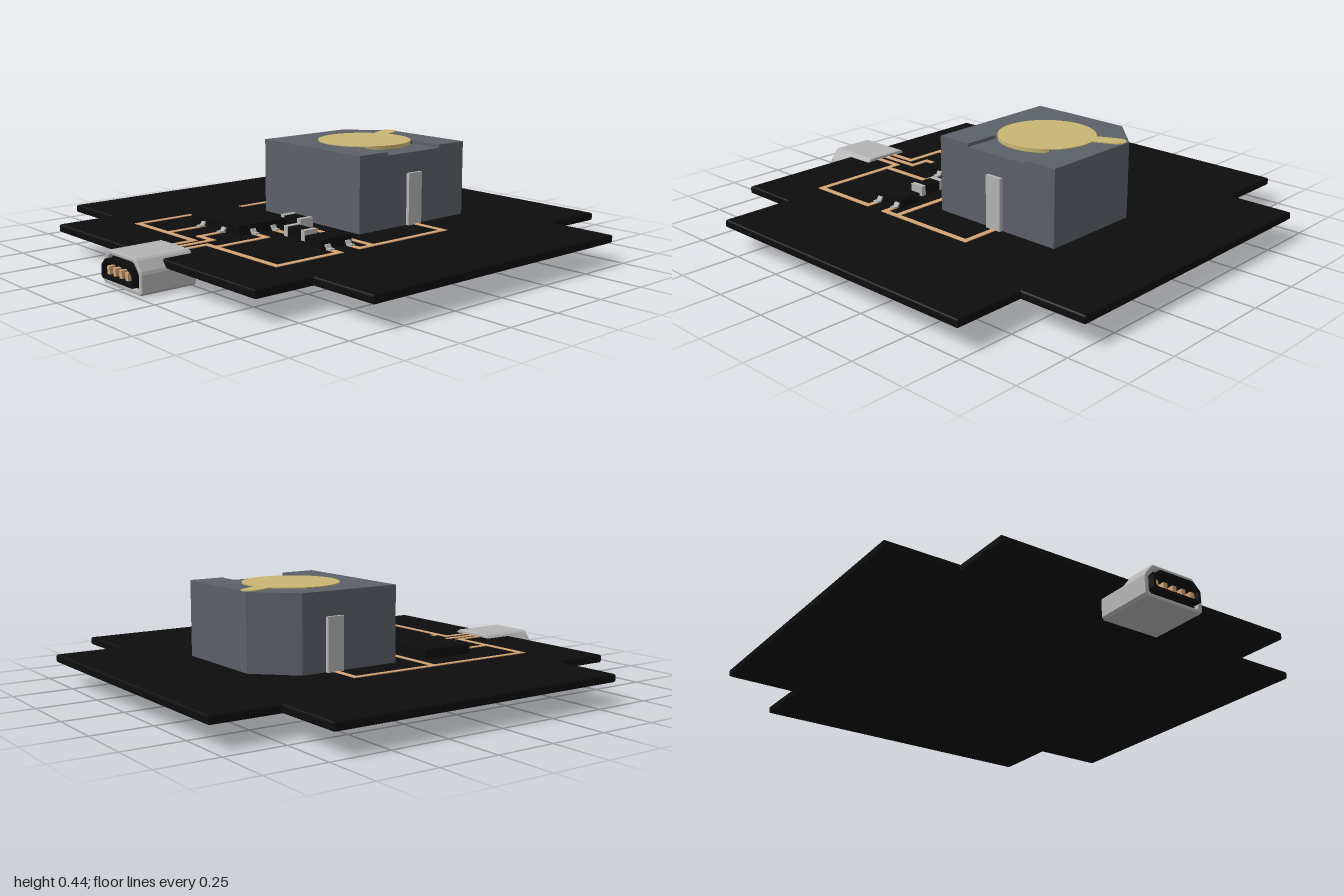
import * as THREE from 'three';

const mat = (color) => new THREE.MeshStandardMaterial({ color });
const black = mat(0x0d0d0d), grey = mat(0x5c6068), silver = mat(0xb4b4b4);
const copper = mat(0xd4a373), gold = mat(0xc8b673);
const TOP = 0.125; // upper face of the board

export function createModel() {
  const model = new THREE.Group();

  const add = (name, geometry, material, parent = model) => {
    const mesh = new THREE.Mesh(geometry, material);
    mesh.name = name;
    parent.add(mesh);
    return mesh;
  };
  const group = (name) => {
    const g = new THREE.Group();
    g.name = name;
    model.add(g);
    return g;
  };
  // Box given by its limits on each axis
  const box = (name, [x0, x1], [y0, y1], [z0, z1], material, parent) =>
    add(name, new THREE.BoxGeometry(x1 - x0, y1 - y0, z1 - z0), material, parent)
      .position.set((x0 + x1) / 2, (y0 + y1) / 2, (z0 + z1) / 2);
  // Plan outline from [x, z] points
  const plan = (pts) => new THREE.Shape(pts.map(([x, z]) => new THREE.Vector2(x, -z)));
  // Plan outline raised from y0 to y1, with rounded edges of size b
  const slab = (shape, y0, y1, b = 0) => new THREE.ExtrudeGeometry(shape, {
    depth: y1 - y0 - 2 * b, bevelEnabled: b > 0, bevelSize: b, bevelOffset: -b,
    bevelThickness: b, bevelSegments: 3, curveSegments: 32,
  }).rotateX(-Math.PI / 2).translate(0, y0 + b, 0);

  // Cross-shaped circuit board
  add('board', slab(plan([
    [-0.665, 0.87], [0.665, 0.87], [0.665, 0.612], [0.97, 0.612], [0.97, -0.71], [0.66, -0.71],
    [0.66, -1], [-0.66, -1], [-0.66, -0.71], [-0.97, -0.71], [-0.97, 0.617], [-0.665, 0.617],
  ]), 0.09, TOP, 0.009), black);

  // Copper tracks: each path is a run of straight segments
  const tracks = group('tracks');
  const h = 0.0115;
  [
    [[-0.3, -0.247], [-0.447, -0.247], [-0.447, 0.62], [-0.047, 0.62], [-0.047, 0.745]],
    [[-0.447, 0.142], [-0.045, 0.142]],
    [[0.3, -0.253], [0.472, -0.253], [0.472, 0.213], [0.42, 0.213]],
    [[0.065, 0.142], [0.472, 0.142]],
    [[0.42, 0.317], [0.472, 0.317], [0.472, 0.62], [0.042, 0.62], [0.042, 0.745]],
    [[0.025, 0.37], [0.097, 0.37], [0.097, 0.62]],
    [[-0.232, 0.45], [-0.232, 0.62]],
    [[-0.092, 0.45], [-0.092, 0.562], [-0.005, 0.562], [-0.005, 0.745]],
    [[0.025, 0.265], [0.13, 0.265]],
  ].forEach((path) => {
    for (let i = 1; i < path.length; i++) {
      const [a, b] = [path[i - 1], path[i]];
      const span = (k) => [Math.min(a[k], b[k]) - h, Math.max(a[k], b[k]) + h];
      box('track', span(0), [TOP - 0.003, TOP + 0.003], span(1), copper, tracks);
    }
  });

  // Large component: chamfered case with a shallow recess in its top
  const buzzer = group('largeComponent');
  add('case', slab(plan([
    [-0.305, 0.055], [0.3, 0.055], [0.3, -0.55], [-0.15, -0.55], [-0.305, -0.395],
  ]), TOP, 0.43), grey, buzzer);
  add('caseTop', slab(plan([
    [-0.305, 0.055], [0.3, 0.055], [0.3, -0.1], [0.145, -0.1], [0.145, -0.4],
    [0.3, -0.4], [0.3, -0.55], [-0.15, -0.55], [-0.305, -0.395],
  ]), 0.43, 0.444), grey, buzzer);

  // Gold disc with its rounded tab
  const a = Math.atan2(0.265, -0.12), w = Math.asin(0.035 / 0.2);
  const disc = new THREE.Shape();
  disc.absarc(0, 0.25, 0.2, a + w, a - w + 2 * Math.PI, false);
  disc.absarc(-0.12, 0.515, 0.035, a - Math.PI / 2, a + Math.PI / 2, false);
  add('disc', slab(disc, 0.432, 0.448), gold, buzzer);

  // Side terminals
  box('terminal', [-0.32, -0.3], [TOP, 0.345], [-0.285, -0.21], silver, buzzer);
  box('terminal', [0.295, 0.315], [TOP, 0.345], [-0.285, -0.21], silver, buzzer);

  // Two-ended chip parts
  const chipPart = (x, z) => {
    const g = group('chipPart');
    box('body', [x - 0.043, x + 0.043], [TOP, 0.165], [z - 0.03, z + 0.03], black, g);
    for (const s of [-1, 1]) {
      const e = x + s * 0.053;
      box('endCap', [e - 0.011, e + 0.011], [TOP, 0.168], [z - 0.033, z + 0.033], silver, g);
    }
  };
  chipPart(0.011, 0.142);
  chipPart(0.182, 0.265);

  // Small black packages with bent legs; each leg is [x, z, heading]
  const bend = new THREE.Shape([[-0.012, 0.02], [0.006, 0.02], [0.014, 0.007], [0.032, 0.007],
    [0.032, 0], [0.01, 0], [0.002, 0.013], [-0.012, 0.013]].map(([x, y]) => new THREE.Vector2(x, y)));
  const legGeometry = new THREE.ExtrudeGeometry(bend, { depth: 0.024, bevelEnabled: false })
    .translate(0, 0, -0.012);
  const packagePart = (name, xs, zs, legs) => {
    const g = group(name);
    box('body', xs, [TOP, 0.165], zs, black, g);
    legs.forEach(([x, z, heading]) => {
      const leg = add('leg', legGeometry, silver, g);
      leg.position.set(x, TOP + 0.001, z);
      leg.rotation.y = heading;
    });
  };
  packagePart('controller', [-0.325, 0.005], [0.2, 0.437],
    [[0.005, 0.265, 0], [0.005, 0.37, 0], [-0.232, 0.437, -Math.PI / 2], [-0.092, 0.437, -Math.PI / 2]]);
  packagePart('transistor', [0.3, 0.4], [0.19, 0.342],
    [[0.4, 0.213, 0], [0.4, 0.317, 0], [0.3, 0.265, Math.PI]]);

  // Cable socket: metal shell around a black core with five contacts
  const socket = group('socket');
  const ring = (sx, sy) => [[-0.135, 0.016], [-0.124, 0.005], [0.124, 0.005], [0.135, 0.016],
    [0.135, 0.085], [0.13, 0.097], [0.102, 0.133], [0.09, 0.14], [-0.09, 0.14], [-0.102, 0.133],
    [-0.13, 0.097], [-0.135, 0.085]]
    .map(([x, y]) => new THREE.Vector2(x * sx, 0.0725 + (y - 0.0725) * sy));
  const tube = (outer, hole, z0, z1, b) => {
    const shape = new THREE.Shape(outer);
    if (hole) shape.holes.push(new THREE.Path(hole));
    return new THREE.ExtrudeGeometry(shape, {
      depth: z1 - z0 - 2 * b, bevelEnabled: b > 0, bevelSize: b, bevelOffset: -b,
      bevelThickness: b, bevelSegments: 2,
    }).translate(0, 0, z0 + b);
  };
  add('shell', tube(ring(1, 1), ring(0.85, 0.75), 0.738, 0.98, 0.005), silver, socket);
  add('coreBack', tube(ring(0.86, 0.77), null, 0.76, 0.96, 0), black, socket);
  add('coreRim', tube(ring(0.82, 0.6), ring(0.74, 0.42), 0.95, 1, 0), black, socket);
  for (let i = -2; i <= 2; i++) {
    const x = i * 0.0425;
    box('contact', [x - 0.009, x + 0.009], [0.047, 0.079], [0.95, 0.985], copper, socket);
  }

  return model;
}
